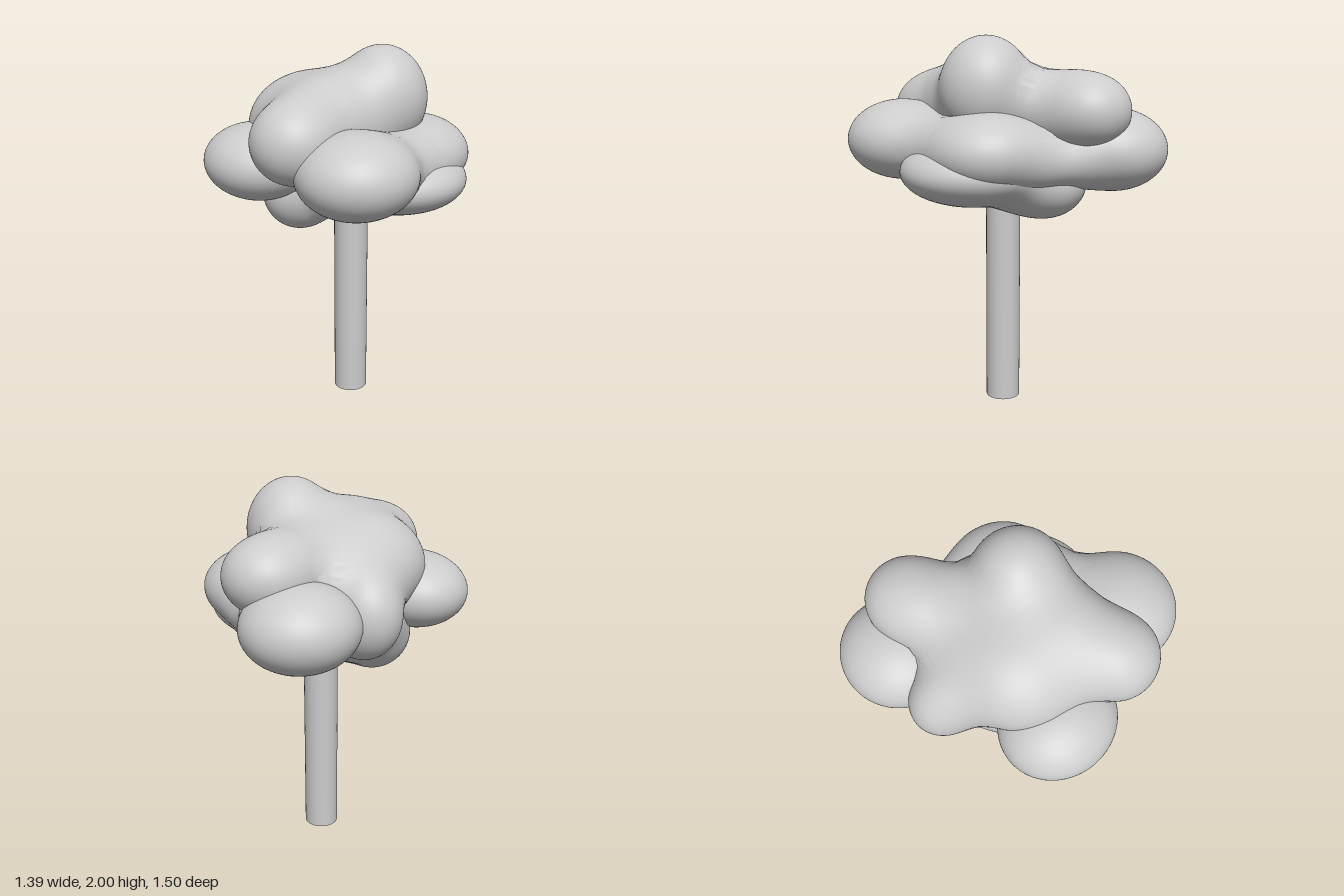
import * as THREE from 'three';
import { mergeVertices } from 'three/addons/utils/BufferGeometryUtils.js';

// Foliage clumps: each is a set of lobes [centre x, y, z, radius x, y, z] that melt together.
const CLUMPS = {
  crownFoliage: [
    [0.145, 1.73, 0.13, 0.235, 0.27, 0.24],   // peak
    [-0.43, 1.585, 0.20, 0.22, 0.21, 0.22],   // left shoulder
    [-0.17, 1.63, 0.13, 0.28, 0.23, 0.21],    // ridge from peak to left shoulder
    [0.475, 1.63, -0.28, 0.22, 0.19, 0.215],  // right shoulder
    [0.28, 1.61, -0.19, 0.22, 0.20, 0.22],    // neck of the right shoulder
    [0.05, 1.43, -0.43, 0.19, 0.24, 0.24],    // back lobe
    [-0.09, 1.57, -0.11, 0.37, 0.29, 0.37],   // core
  ],
  frontFoliage: [
    [-0.24, 1.45, 0.45, 0.305, 0.215, 0.30],  // front left
    [0.33, 1.43, 0.19, 0.275, 0.20, 0.295],   // front right
    [0.07, 1.41, 0.35, 0.24, 0.16, 0.17],     // saddle between them
    [0.40, 1.38, -0.12, 0.18, 0.14, 0.24],    // link to the back
    [0.40, 1.42, -0.47, 0.295, 0.215, 0.285], // back right
  ],
  lowerFoliage: [
    [0.18, 1.32, 0.21, 0.37, 0.18, 0.385],    // base
    [-0.18, 1.20, -0.16, 0.205, 0.20, 0.20],  // left underside
    [0.26, 1.25, -0.13, 0.26, 0.19, 0.23],    // right underside
    [0.00, 1.27, -0.06, 0.26, 0.13, 0.22],    // middle
    [-0.04, 1.33, -0.27, 0.21, 0.17, 0.20],   // rise to the back
  ],
  backLeftFoliage: [[-0.42, 1.41, -0.18, 0.28, 0.20, 0.31]],
};
const BLEND = 0.15;

// Approximate signed distance to one ellipsoid lobe
function lobeDistance(p, [cx, cy, cz, rx, ry, rz]) {
  const x = (p.x - cx) / rx, y = (p.y - cy) / ry, z = (p.z - cz) / rz;
  const k = Math.hypot(x, y, z);
  return k * (k - 1) / Math.max(1e-6, Math.hypot(x / rx, y / ry, z / rz));
}

// Smooth union of all lobes in a clump
function clumpDistance(p, lobes) {
  return lobes.map((l) => lobeDistance(p, l)).reduce((a, b) => {
    const h = Math.max(BLEND - Math.abs(a - b), 0) / BLEND;
    return Math.min(a, b) - h * h * BLEND / 4;
  });
}

// Swell an ellipsoid outward until it meets the blended clump surface
function lobeGeometry(lobe, lobes) {
  let geo = new THREE.IcosahedronGeometry(1, 14);
  geo.deleteAttribute('uv');
  geo.deleteAttribute('normal');
  geo = mergeVertices(geo, 1e-4);
  const pos = geo.attributes.position;
  const normals = new Float32Array(pos.count * 3);
  const centre = new THREE.Vector3(...lobe.slice(0, 3));
  const radii = new THREE.Vector3(...lobe.slice(3));
  const dir = new THREE.Vector3(), p = new THREE.Vector3(), q = new THREE.Vector3();
  const at = (t) => clumpDistance(p.copy(dir).multiplyScalar(t).add(centre), lobes);
  for (let i = 0; i < pos.count; i++) {
    dir.fromBufferAttribute(pos, i).multiply(radii);
    let inside = 0.98, outside = 0.98;
    while (outside < 2 && at(outside) < 0) {
      inside = outside;
      outside += 0.03;
    }
    for (let n = 0; n < 10; n++) {
      const mid = (inside + outside) / 2;
      if (at(mid) < 0) inside = mid; else outside = mid;
    }
    at(inside);
    pos.setXYZ(i, p.x, p.y, p.z);
    const slope = (axis) => {
      const e = 0.004;
      q.copy(p)[axis] += e;
      const a = clumpDistance(q, lobes);
      q[axis] -= 2 * e;
      return a - clumpDistance(q, lobes);
    };
    const n = new THREE.Vector3(slope('x'), slope('y'), slope('z')).normalize();
    n.toArray(normals, i * 3);
  }
  geo.setAttribute('normal', new THREE.BufferAttribute(normals, 3));
  return geo;
}

export function createModel() {
  const model = new THREE.Group();
  model.name = 'tree';
  const grey = new THREE.MeshStandardMaterial({ color: 0xcccccc });
  grey.name = 'light grey';

  // Trunk
  const trunk = new THREE.Mesh(new THREE.CylinderGeometry(0.093, 0.093, 1.2, 32), grey);
  trunk.name = 'trunk';
  trunk.position.set(0.052, 0.6, -0.01);
  model.add(trunk);

  // Foliage clumps
  for (const [name, lobes] of Object.entries(CLUMPS)) {
    const clump = new THREE.Group();
    clump.name = name;
    lobes.forEach((lobe, i) => {
      const mesh = new THREE.Mesh(lobeGeometry(lobe, lobes), grey);
      mesh.name = `${name}Lobe${i + 1}`;
      clump.add(mesh);
    });
    model.add(clump);
  }
  return model;
}
